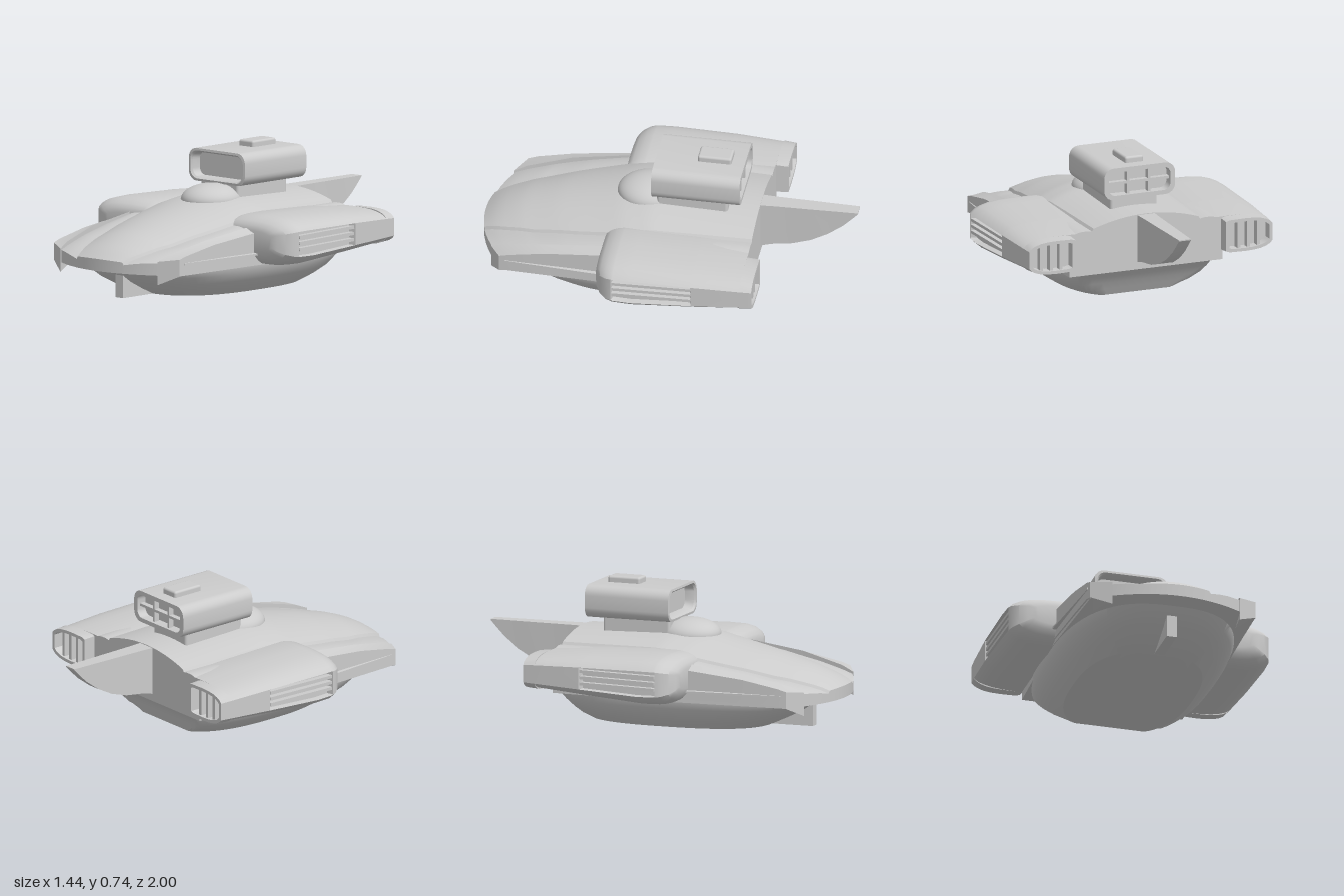
import * as THREE from 'three';
import { toCreasedNormals } from 'three/addons/utils/BufferGeometryUtils.js';
import { RoundedBoxGeometry } from 'three/addons/geometries/RoundedBoxGeometry.js';

const mat = new THREE.MeshStandardMaterial({ color: 0xcccccc });

// Piecewise-linear lookup in a table of [z, value], z descending
function at(table, z) {
  if (z >= table[0][0]) return table[0][1];
  for (let i = 1; i < table.length; i++) {
    const [z0, a] = table[i - 1], [z1, b] = table[i];
    if (z >= z1) return a + (b - a) * (z - z0) / (z1 - z0);
  }
  return table[table.length - 1][1];
}

// Skin equal-length rings (counter-clockwise seen from the first one), capped by strips
function loft(rings, crease = 0.6) {
  const n = rings[0].length, index = [];
  for (let i = 0; i < rings.length - 1; i++)
    for (let j = 0; j < n; j++) {
      const a = i * n + j, b = i * n + (j + 1) % n;
      index.push(a, a + n, b, b, a + n, b + n);
    }
  const last = (rings.length - 1) * n;
  for (let j = 0; j < n / 2 - 1; j++) {
    const a = j, b = j + 1, c = n - 2 - j, d = n - 1 - j;
    index.push(a, b, c, a, c, d);
    index.push(last + a, last + c, last + b, last + a, last + d, last + c);
  }
  const g = new THREE.BufferGeometry();
  g.setAttribute('position', new THREE.Float32BufferAttribute(rings.flat(2), 3));
  g.setIndex(index);
  return toCreasedNormals(g, crease);
}

// Mirror a non-indexed geometry in x, keeping faces outward
function mirrored(geo) {
  const g = geo.clone();
  for (const name of ['position', 'normal']) {
    const src = geo.attributes[name], dst = g.attributes[name];
    for (let i = 0; i < src.count; i++) {
      const k = i - (i % 3) + (2 - (i % 3));
      dst.setXYZ(i, -src.getX(k), src.getY(k), src.getZ(k));
    }
  }
  return g;
}

// Rounded rectangle ring at depth z
function roundRect(hw, hh, r, cy, z) {
  const ring = [];
  [[1, -1, -90], [1, 1, 0], [-1, 1, 90], [-1, -1, 180]].forEach(([sx, sy, start]) => {
    for (let k = 0; k <= 6; k++) {
      const a = (start + k * 15) * Math.PI / 180;
      ring.push([sx * (hw - r) + r * Math.cos(a), cy + sy * (hh - r) + r * Math.sin(a), z]);
    }
  });
  return ring;
}

// Engine pod section: inner x, outer x, bottom, top, depth of the side slot
function podRing(z, xi, xo, y0, y1, slot = 0) {
  const half = [[0, 0.9], [0.08, 0.98], [0.4, 1], [0.6, 0.98], [0.75, 0.92], [0.86, 0.82], [0.94, 0.7], [1, 0.52]];
  const cy = (y0 + y1) / 2, hh = (y1 - y0) / 2;
  const p = (s) => half.map(([u, v]) => [xi + (xo - xi) * u, cy + s * v * hh, z]);
  const inner = [[xo - slot, cy - 0.49 * hh, z], [xo - slot, cy + 0.49 * hh, z]];
  return [...p(-1), ...inner, ...p(1).reverse()];
}

export function createModel() {
  const model = new THREE.Group();
  const add = (name, geo, x = 0, y = 0, z = 0) => {
    const m = new THREE.Mesh(geo, mat);
    m.name = name;
    m.position.set(x, y, z);
    model.add(m);
    return m;
  };
  const box = (name, w, h, d, x, y, z) => add(name, new THREE.BoxGeometry(w, h, d), x, y, z);

  // Upper deck: raised hood, grooved edges, sloping side panels, rounded nose
  const crown = [[1, 0.235], [0.95, 0.27], [0.9, 0.295], [0.8, 0.335], [0.6, 0.39], [0.4, 0.435], [0.25, 0.47], [0.1, 0.488], [-0.48, 0.472]];
  const hoodWidth = [[1, 0.16], [0.9, 0.2], [0.75, 0.245], [0.5, 0.295], [0.3, 0.325], [-0.1, 0.31], [-0.48, 0.3]];
  const drop = [[1, 0.005], [0.9, 0.025], [0.75, 0.045], [0.3, 0.065], [-0.48, 0.05]];
  const edge = [[1, 0.23], [0.8, 0.275], [0.6, 0.31], [0.3, 0.35], [0, 0.4], [-0.48, 0.39]];
  const sideWidth = [[1, 0.45], [0.3, 0.475], [-0.48, 0.44]];
  const deckRings = [];
  for (let i = 0; i <= 40; i++) {
    const t = i / 40, z0 = 1 - 1.48 * t;
    const c = at(crown, z0), hw = at(hoodWidth, z0), w = at(sideWidth, z0), d = at(drop, z0), e = at(edge, z0);
    const half = [];
    for (let k = 0; k <= 8; k++) half.push([hw * k / 8, c - d * (k / 8) ** 2]);
    const groove = c - d - 0.014;
    for (let k = 0; k <= 5; k++) {
      const f = k / 5;
      half.push([hw + 0.01 + (w - hw - 0.01) * f, groove + (e - groove) * f + 0.012 * Math.sin(Math.PI * f)]);
    }
    const top = [...half.slice(1).reverse(), ...half.map(([x, y]) => [-x, y])];
    const place = ([x, y]) => [x, y, (1 - 0.8 * x * x) * (1 - t) - 0.48 * t];
    const bottom = top.map(([x]) => [x, 0.17]).reverse();
    deckRings.push([...bottom, ...top].map(place));
  }
  add('upperDeck', loft(deckRings, 0.5));

  // Lower hull: bowl with a flat floor and a slanted stern
  const levels = [[0.21, 0.475, 0.88, -0.48], [0.17, 0.472, 0.87, -0.478], [0.13, 0.457, 0.83, -0.43],
    [0.09, 0.43, 0.77, -0.4], [0.05, 0.39, 0.69, -0.375], [0.01, 0.33, 0.6, -0.35]];
  const spow = (v, p) => Math.sign(v) * Math.abs(v) ** p;
  add('lowerHull', loft(levels.map(([y, w, zf, zr]) => {
    const ring = [];
    for (let k = 0; k < 72; k++) {
      const a = (k + 0.5) / 72 * Math.PI * 2;
      const z = 0.1 - (zf - 0.1) * spow(Math.sin(a), 0.78);
      ring.push([w * spow(Math.cos(a), 0.72), y, Math.max(z, zr)]);
    }
    return ring;
  }), 0.45));
  box('keel', 0.055, 0.13, 0.34, 0, 0.075, 0.66);

  // Tail fin with a curved lower edge
  add('tailFin', loft([[-0.4, 0.052, 0.19], [-0.48, 0.05, 0.21], [-0.54, 0.046, 0.225], [-0.65, 0.043, 0.24], [-0.75, 0.041, 0.272],
    [-0.84, 0.038, 0.32], [-0.92, 0.036, 0.38], [-0.97, 0.035, 0.43], [-1, 0.034, 0.462]]
    .map(([z, w, b]) => [[-w, b, z], [w, b, z], [w, 0.468, z], [-w, 0.468, z]])));

  // Front fenders: front and outer corners slanted, hooked tip at the nose
  const fender = loft([
    [0.91, 0.85, 0.35, 0.455, 0.12, 0.17, 0.245, 0.26],
    [0.84, 0.8, 0.365, 0.46, 0.15, 0.18, 0.275, 0.275],
    [0.6, 0.6, 0.405, 0.468, 0.18, 0.185, 0.33, 0.313],
    [0.25, 0.25, 0.425, 0.48, 0.19, 0.19, 0.375, 0.35],
  ].map(([zi, zo, xi, xo, bi, bo, ti, to]) => [[xi, bi, zi], [xo, bo, zo], [xo, to, zo], [xi, ti, zi]]));
  // Side strakes
  const strake = loft([[0.82, 0.462], [0.3, 0.5], [0.2, 0.5]]
    .map(([z, x]) => [[0.43, 0.222, z], [x, 0.228, z], [x, 0.238, z], [0.43, 0.244, z]]));
  // Engine pods: rounded nose, slotted flank, recessed exhaust
  const pod = loft([
    podRing(0.302, 0.3, 0.6, 0.25, 0.36),
    podRing(0.293, 0.3, 0.635, 0.22, 0.385),
    podRing(0.27, 0.3, 0.675, 0.195, 0.405),
    podRing(0.235, 0.3, 0.705, 0.177, 0.42),
    podRing(0.205, 0.3, 0.715, 0.17, 0.427),
    podRing(0.195, 0.3, 0.716, 0.169, 0.428, 0.035),
    podRing(0.1, 0.3, 0.72, 0.167, 0.43, 0.035),
    podRing(-0.215, 0.3, 0.717, 0.193, 0.42, 0.035),
    podRing(-0.225, 0.3, 0.717, 0.194, 0.42),
    podRing(-0.48, 0.3, 0.704, 0.215, 0.405),
    podRing(-0.48, 0.43, 0.704, 0.215, 0.405),
    podRing(-0.545, 0.432, 0.698, 0.22, 0.4),
    podRing(-0.545, 0.45, 0.68, 0.237, 0.383),
    podRing(-0.49, 0.45, 0.68, 0.237, 0.383),
  ], 0.55);
  for (const [side, s] of [['left', 1], ['right', -1]]) {
    const g = (geo) => (s > 0 ? geo : mirrored(geo));
    add(side + 'Fender', g(fender));
    add(side + 'Strake', g(strake));
    add(side + 'EnginePod', g(pod));
    for (let k = 0; k < 3; k++) {
      box(side + 'ExhaustSlat', 0.018, 0.15, 0.035, s * (0.51 + k * 0.056), 0.31, -0.515);
      const bar = box(side + 'IntakeBar', 0.03, 0.016, 0.42, s * 0.699, 0.274 + k * 0.033, -0.01);
      bar.rotation.x = 0.02;
    }
  }

  // Canopy bump and turret pedestal
  const dome = new THREE.SphereGeometry(1, 40, 24);
  dome.scale(0.155, 0.085, 0.17);
  add('canopyBump', dome, 0, 0.46, 0.12);
  add('turretPedestal', new RoundedBoxGeometry(0.27, 0.12, 0.38, 3, 0.015), 0, 0.49, -0.13);

  // Turret: rounded housing, recessed at both ends
  add('turretHousing', loft([
    roundRect(0.177, 0.062, 0.04, 0.625, 0.02),
    roundRect(0.182, 0.067, 0.045, 0.625, 0.07),
    roundRect(0.19, 0.075, 0.05, 0.625, 0.08),
    roundRect(0.203, 0.087, 0.055, 0.625, 0.078),
    roundRect(0.203, 0.087, 0.055, 0.625, -0.395),
    roundRect(0.177, 0.064, 0.04, 0.625, -0.395),
    roundRect(0.177, 0.064, 0.04, 0.625, -0.34),
  ]));
  box('turretRearBar', 0.35, 0.014, 0.03, 0, 0.625, -0.365);
  for (const x of [-0.06, 0.06]) box('turretRearBar', 0.014, 0.128, 0.03, x, 0.625, -0.365);
  add('turretHatch', new RoundedBoxGeometry(0.104, 0.05, 0.18, 3, 0.012), 0, 0.72, -0.235);

  return model;
}
